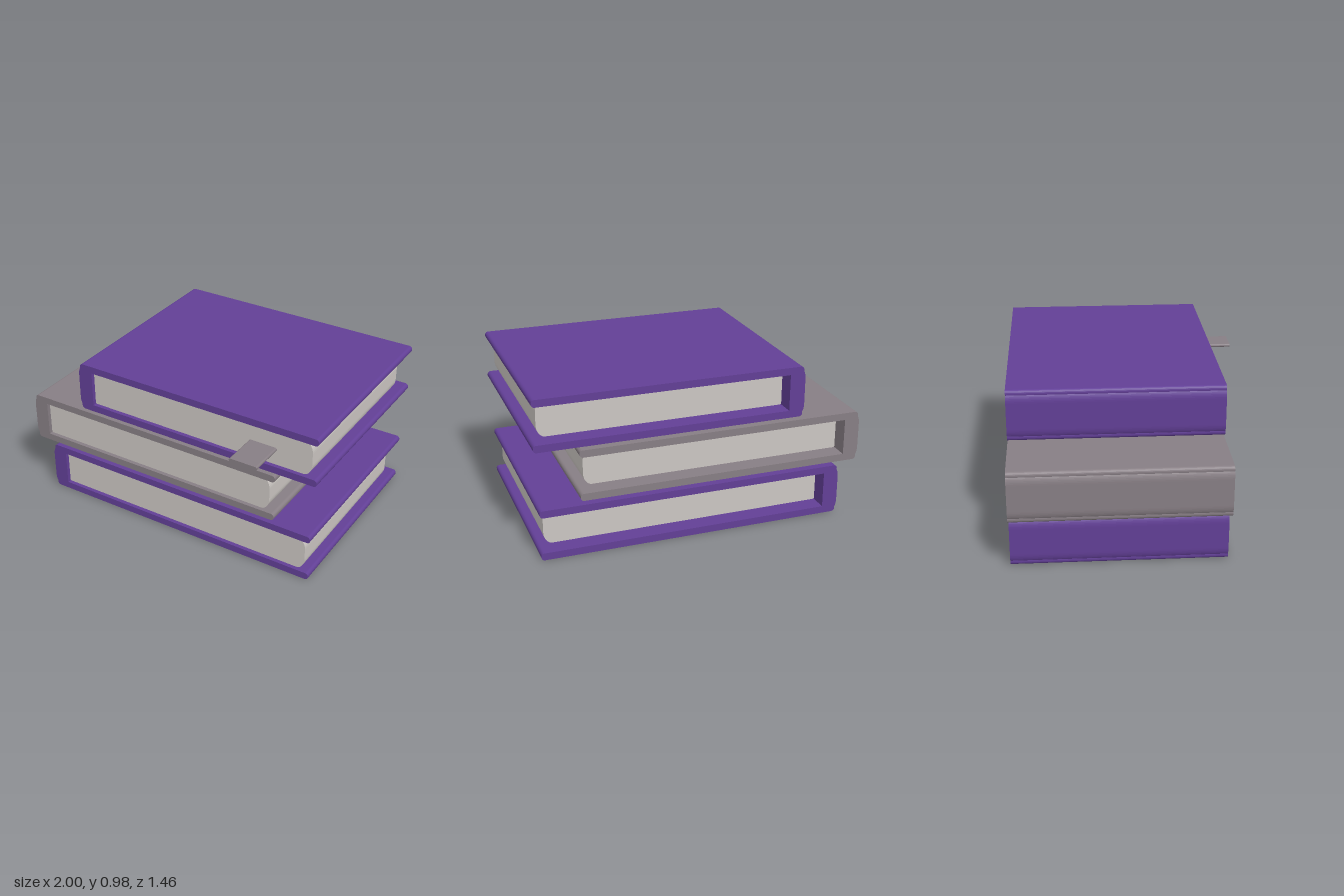
import * as THREE from 'three';

const purple = new THREE.MeshStandardMaterial({ color: 0x623f96 });
purple.name = 'purple cover';
const grey = new THREE.MeshStandardMaterial({ color: 0x877e84 });
grey.name = 'grey cover';
const paper = new THREE.MeshStandardMaterial({ color: 0xcbc6c2 });
paper.name = 'paper';

// Rectangle x0..x1, y0..y1 with left and right corner radii [rx, ry], extruded from z0 to z1
function slab(name, material, [x0, x1], [y0, y1], [z0, z1], [lx, ly], [rx, ry]) {
  const s = new THREE.Shape();
  s.moveTo(x0 + lx, y0);
  s.lineTo(x1 - rx, y0);
  s.absellipse(x1 - rx, y0 + ry, rx, ry, -Math.PI / 2, 0, false, 0);
  s.absellipse(x1 - rx, y1 - ry, rx, ry, 0, Math.PI / 2, false, 0);
  s.absellipse(x0 + lx, y1 - ly, lx, ly, Math.PI / 2, Math.PI, false, 0);
  s.absellipse(x0 + lx, y0 + ly, lx, ly, Math.PI, Math.PI * 1.5, false, 0);
  const geometry = new THREE.ExtrudeGeometry(s, { depth: z1 - z0, bevelEnabled: false, curveSegments: 5 });
  geometry.translate(0, 0, z0);
  const mesh = new THREE.Mesh(geometry, material);
  mesh.name = name;
  return mesh;
}

// One hardback: two boards, a rounded spine and an inset page block
function book(name, material, spineX, boardEnd, pageEnd, y) {
  const g = new THREE.Group();
  g.name = name;
  const z = [-0.73, 0.53], r = [0.02, 0.02];
  const boardX = [spineX + 0.01, boardEnd];
  g.add(
    slab('lowerBoard', material, boardX, [y, y + 0.044], z, r, r),
    slab('upperBoard', material, boardX, [y + 0.266, y + 0.31], z, r, r),
    slab('spine', material, [spineX, spineX + 0.095], [y + 0.015, y + 0.295], z, [0.03, 0.06], [0.012, 0.03]),
    slab('pages', paper, [spineX + 0.09, pageEnd], [y + 0.043, y + 0.267], [-0.62, 0.505], [0.02, 0.02], [0.055, 0.075])
  );
  return g;
}

export function createModel() {
  const model = new THREE.Group();
  model.name = 'bookStack';
  model.add(
    book('bottomBook', purple, -0.88, 0.98, 0.94, 0),
    book('middleBook', grey, -1, 0.74, 0.695, 0.335),
    book('topBook', purple, -0.625, 1, 0.955, 0.667),
    // Bookmark sticking out of the top book
    slab('bookmark', grey, [0.555, 0.733], [0.8, 0.821], [0.4, 0.73], [0.01, 0.01], [0.01, 0.01])
  );
  return model;
}
